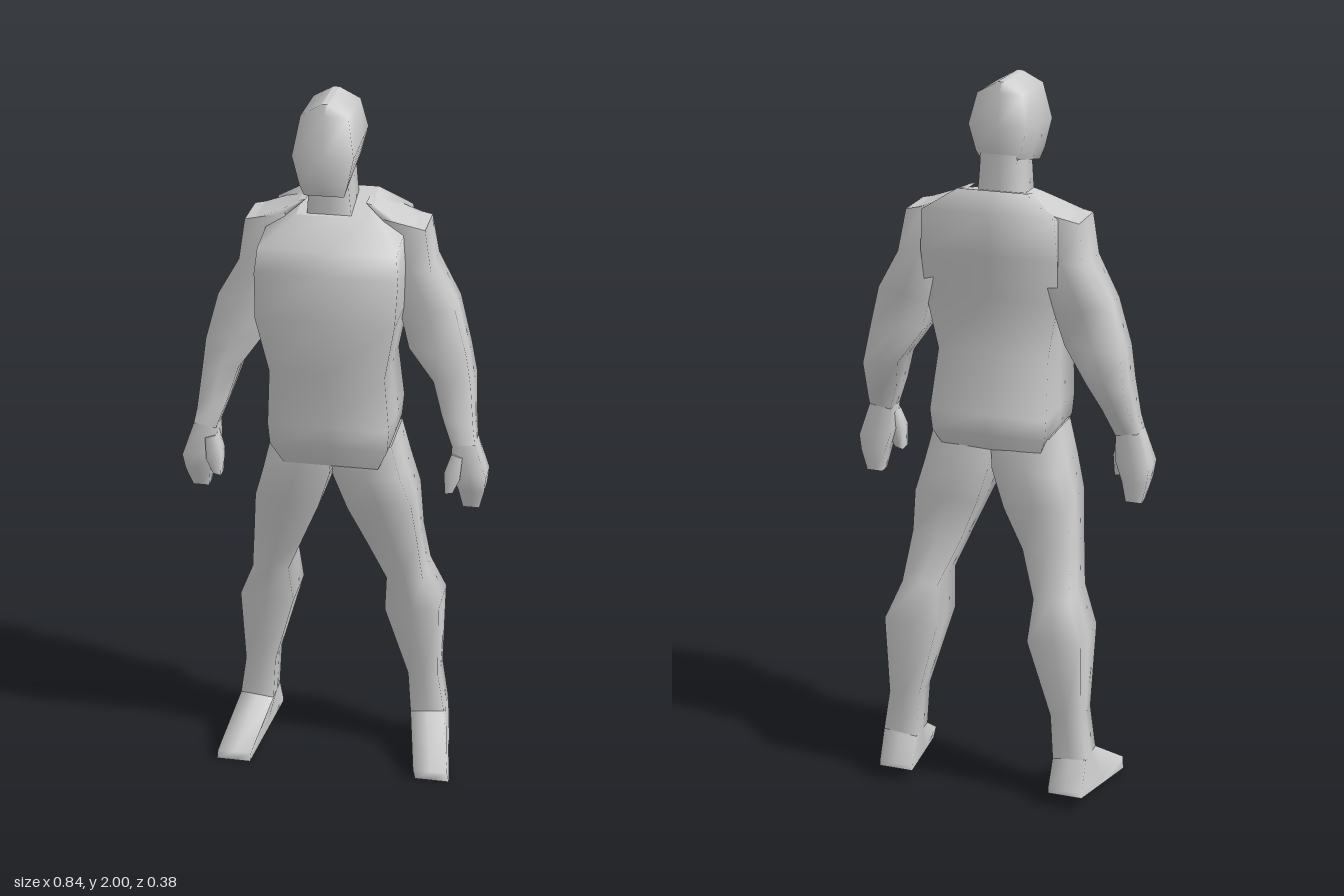
import * as THREE from 'three';

const grey = new THREE.MeshStandardMaterial({ color: 0xcccccc });
grey.name = 'plain grey';

// Eight points of a box-like section: corners plus edge midpoints.
// Section: [xLeft, yLeft, xRight, yRight, zBack, zFront, front y shift, front x shift]
function sectionPoints([xl, yl, xr, yr, zb, zf, dy = 0, dx = 0]) {
  const corners = [
    [xl + dx, yl + dy, zf], [xr + dx, yr + dy, zf],
    [xr, yr, zb], [xl, yl, zb],
  ];
  const points = [];
  corners.forEach((a, i) => {
    const b = corners[(i + 1) % 4];
    points.push(a, a.map((v, k) => (v + b[k]) / 2));
  });
  return points;
}

// Smooth skin over sections listed from top to bottom, with sharp end caps.
function loft(name, sections) {
  const rings = sections.map(sectionPoints);
  const n = 8, last = rings.length - 1;
  const points = rings.flat(), index = [];
  for (let r = 0; r < last; r++) {
    for (let i = 0; i < n; i++) {
      const j = (i + 1) % n, a = r * n, b = a + n;
      index.push(b + i, b + j, a + j, b + i, a + j, a + i);
    }
  }
  const top = points.length, bottom = top + n;
  points.push(...rings[0], ...rings[last]);
  for (let i = 1; i < n - 1; i++) {
    index.push(top, top + i, top + i + 1);
    index.push(bottom, bottom + i + 1, bottom + i);
  }
  const geometry = new THREE.BufferGeometry();
  geometry.setAttribute('position', new THREE.Float32BufferAttribute(points.flat(), 3));
  geometry.setIndex(index);
  geometry.computeVertexNormals();
  const mesh = new THREE.Mesh(geometry, grey);
  mesh.name = name;
  return mesh;
}

// Level section centred on x
const level = (y, cx, hw, zb, zf, dy = 0) => [cx - hw, y, cx + hw, y, zb, zf, dy];

const mirrored = (sections) => sections.map(
  ([xl, yl, xr, yr, zb, zf, dy = 0, dx = 0]) => [-xr, yr, -xl, yl, zb, zf, dy, -dx]);

export function createModel() {
  const model = new THREE.Group();
  model.name = 'figure';

  // Head with a ridged crown and a chin that drops at the front
  model.add(loft('head', [
    level(2.0, -0.01, 0.008, -0.035, 0.125),
    level(1.97, -0.01, 0.062, -0.042, 0.132),
    level(1.89, -0.01, 0.08, -0.06, 0.157, -0.02),
    level(1.82, -0.01, 0.062, -0.055, 0.15, -0.03),
    level(1.80, -0.01, 0.052, -0.05, 0.138, -0.04),
  ]));
  model.add(loft('neck', [
    level(1.84, -0.01, 0.048, -0.053, 0.075),
    level(1.77, -0.01, 0.052, -0.053, 0.075),
    level(1.67, -0.01, 0.06, -0.055, 0.07),
  ]));

  // Torso, tapering at the waist and tucked under at the hips
  model.add(loft('torso', [
    level(1.72, 0, 0.095, -0.08, 0.08, -0.035),
    level(1.665, 0, 0.183, -0.115, 0.16, -0.05),
    level(1.55, 0, 0.19, -0.105, 0.172),
    level(1.43, 0, 0.185, -0.085, 0.19),
    level(1.27, 0, 0.155, -0.07, 0.16),
    level(1.11, 0, 0.165, -0.115, 0.143),
    level(1.05, 0, 0.16, -0.11, 0.14),
    level(0.98, 0, 0.13, -0.075, 0.105),
  ]));

  const limbs = {
    Shoulder: [
      [0.08, 1.71, 0.1, 1.705, -0.075, 0.03],
      [0.13, 1.67, 0.15, 1.68, -0.08, 0.05],
      [0.13, 1.62, 0.22, 1.655, -0.08, 0.05],
    ],
    Arm: [
      [0.13, 1.675, 0.24, 1.652, -0.08, 0.05],
      [0.14, 1.55, 0.257, 1.54, -0.1, 0.052],
      [0.178, 1.40, 0.32, 1.43, -0.085, 0.035],
      [0.2, 1.315, 0.355, 1.30, -0.07, 0.042],
      [0.267, 1.22, 0.368, 1.21, -0.09, 0.038],
      [0.295, 1.13, 0.38, 1.10, -0.03, 0.06],
      [0.325, 1.05, 0.387, 1.06, 0.0, 0.073],
    ],
    Hand: [
      [0.325, 1.05, 0.387, 1.06, 0.0, 0.073],
      [0.325, 0.98, 0.42, 0.965, 0.0, 0.08],
      [0.345, 0.92, 0.415, 0.92, 0.0, 0.068],
      [0.355, 0.86, 0.4, 0.86, 0.005, 0.045],
    ],
    Thumb: [
      [0.325, 1.03, 0.355, 1.02, 0.03, 0.08],
      [0.308, 0.98, 0.35, 0.96, 0.04, 0.09],
      [0.31, 0.915, 0.332, 0.92, 0.05, 0.09],
    ],
    Leg: [
      [0.0, 1.0, 0.165, 1.05, -0.085, 0.105],
      [0.005, 0.95, 0.19, 0.95, -0.095, 0.1],
      [0.04, 0.84, 0.217, 0.86, -0.098, 0.075],
      [0.09, 0.72, 0.23, 0.735, -0.085, 0.04],
      [0.14, 0.6, 0.243, 0.6, -0.14, 0.01],
      [0.132, 0.485, 0.285, 0.495, -0.17, -0.015],
      [0.195, 0.26, 0.282, 0.26, -0.15, -0.055],
      [0.203, 0.13, 0.3, 0.14, -0.152, -0.06],
    ],
    Foot: [
      [0.203, 0.13, 0.3, 0.14, -0.152, -0.06],
      [0.202, 0.055, 0.3, 0.055, -0.19, 0.1, -0.022, 0.035],
      [0.202, 0.04, 0.3, 0.04, -0.19, 0.092, -0.04, 0.04],
    ],
  };
  for (const [part, sections] of Object.entries(limbs)) {
    model.add(loft('left' + part, sections));
    model.add(loft('right' + part, mirrored(sections)));
  }
  return model;
}
